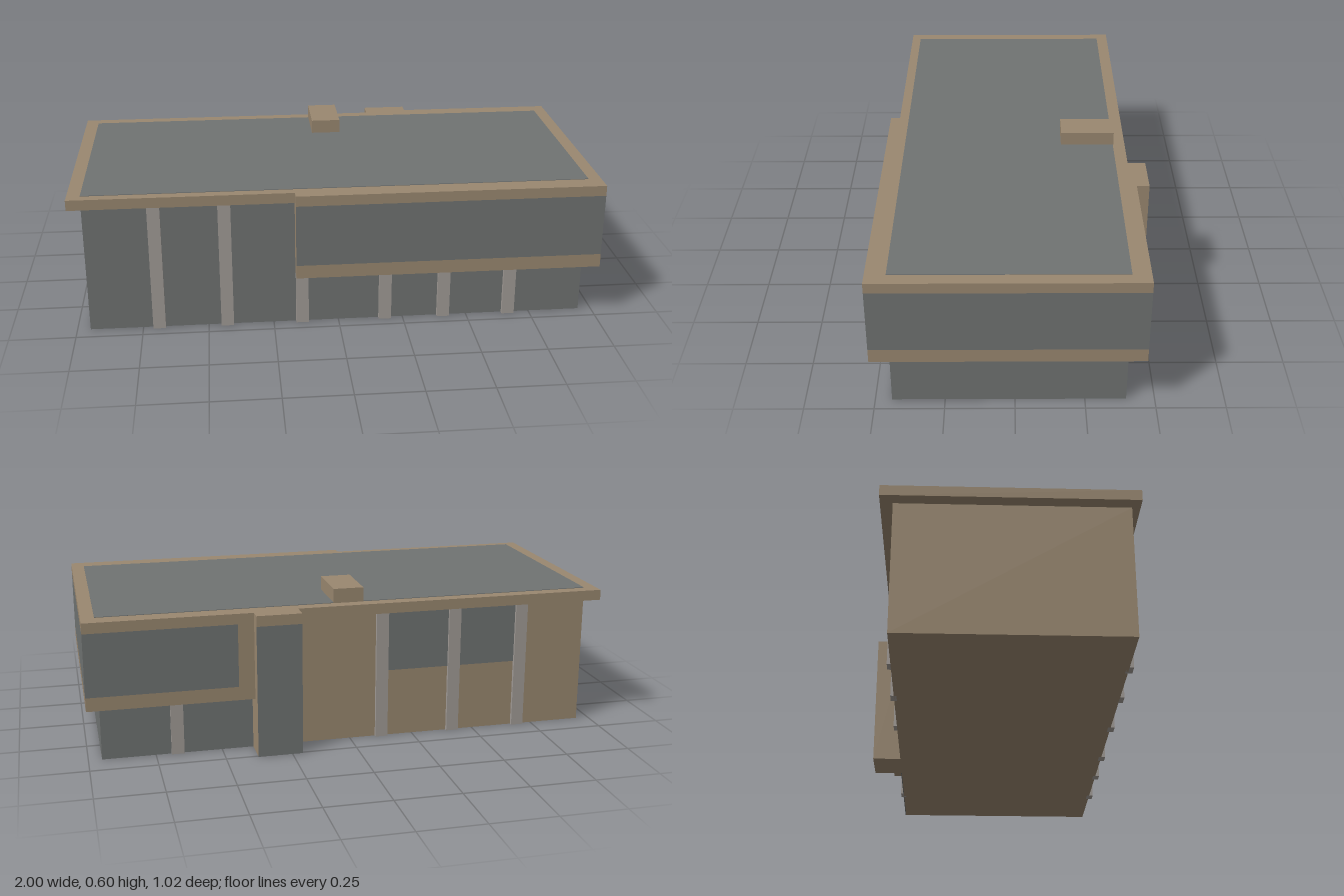
import * as THREE from 'three';

export function createModel() {
  const model = new THREE.Group();
  model.name = 'building';

  const mat = (name, color) => {
    const m = new THREE.MeshStandardMaterial({ color });
    m.name = name;
    return m;
  };
  const tan = mat('tan wall', 0x9a8870);
  const glass = mat('grey glass', 0x707372);
  const stone = mat('pale stone', 0xa29c97);

  // Box from its limits; material may be one or six (+x, -x, +y, -y, +z, -z)
  const box = (name, [x0, x1], [y0, y1], [z0, z1], material, parent = model) => {
    const mesh = new THREE.Mesh(new THREE.BoxGeometry(x1 - x0, y1 - y0, z1 - z0), material);
    mesh.position.set((x0 + x1) / 2, (y0 + y1) / 2, (z0 + z1) / 2);
    mesh.name = name;
    parent.add(mesh);
    return mesh;
  };

  // Levels shared by the parts
  const soffit = 0.213, sill = 0.265, eave = 0.505, top = 0.545;

  // Main block: glazed front and left, solid elsewhere
  box('mainBlock', [-0.95, 0.95], [0, eave], [-0.395, 0.44], [glass, tan, tan, tan, glass, tan]);
  box('rearGroundGlazing', [0.38, 0.95], [0, soffit], [-0.398, -0.394], glass);
  box('rearWindow', [-0.68, -0.12], [sill, eave], [-0.398, -0.394], glass);

  // Roof slab with inset grey deck and a vent box
  box('roofSlab', [-1, 1], [eave, top], [-0.44, 0.47], tan);
  box('roofDeck', [-0.95, 0.95], [top - 0.002, top + 0.002], [-0.393, 0.433], glass);
  box('roofVent', [-0.05, 0.065], [top, 0.6], [-0.395, -0.187], tan);

  // Projecting upper storey: sill band, window band, top band
  const upper = new THREE.Group();
  upper.name = 'upperStorey';
  model.add(upper);
  const footprints = [
    ['front', [-0.165, 1], [0, 0.507]],
    ['rear', [0.38, 1], [-0.46, 0]],
  ];
  for (const [side, xs, zs] of footprints) {
    box(side + 'SillBand', xs, [soffit, sill], zs, tan, upper);
    box(side + 'TopBand', xs, [eave, top], zs, tan, upper);
  }
  box('frontWindowBand', [-0.165, 1], [sill, eave], [0, 0.507], [glass, tan, tan, tan, glass, tan], upper);
  box('rearWindowBand', [0.44, 1], [sill, eave], [-0.46, 0], [glass, tan, tan, tan, tan, glass], upper);
  box('rearWallPier', [0.38, 0.44], [sill, eave], [-0.46, 0], tan, upper);

  // Stair tower at the back with a glazed rear face
  box('stairTowerShaft', [0.21, 0.38], [0, eave], [-0.508, -0.39], [tan, tan, tan, tan, tan, glass]);
  box('stairTowerCap', [0.21, 0.38], [eave, top], [-0.508, -0.39], tan);

  // Pilasters: tall under the roof, short under the projecting storey
  const pilasters = new THREE.Group();
  pilasters.name = 'pilasters';
  model.add(pilasters);
  const half = 0.024;
  for (const x of [-0.688, -0.428, -0.14, 0.18, 0.408, 0.665]) {
    box('frontPilaster', [x - half, x + half], [0, x < -0.2 ? eave : soffit], [0.43, 0.456], stone, pilasters);
  }
  for (const x of [-0.688, -0.415, -0.125, 0.668]) {
    box('rearPilaster', [x - half, x + half], [0, x < 0.2 ? eave : soffit], [-0.408, -0.385], stone, pilasters);
  }

  return model;
}
